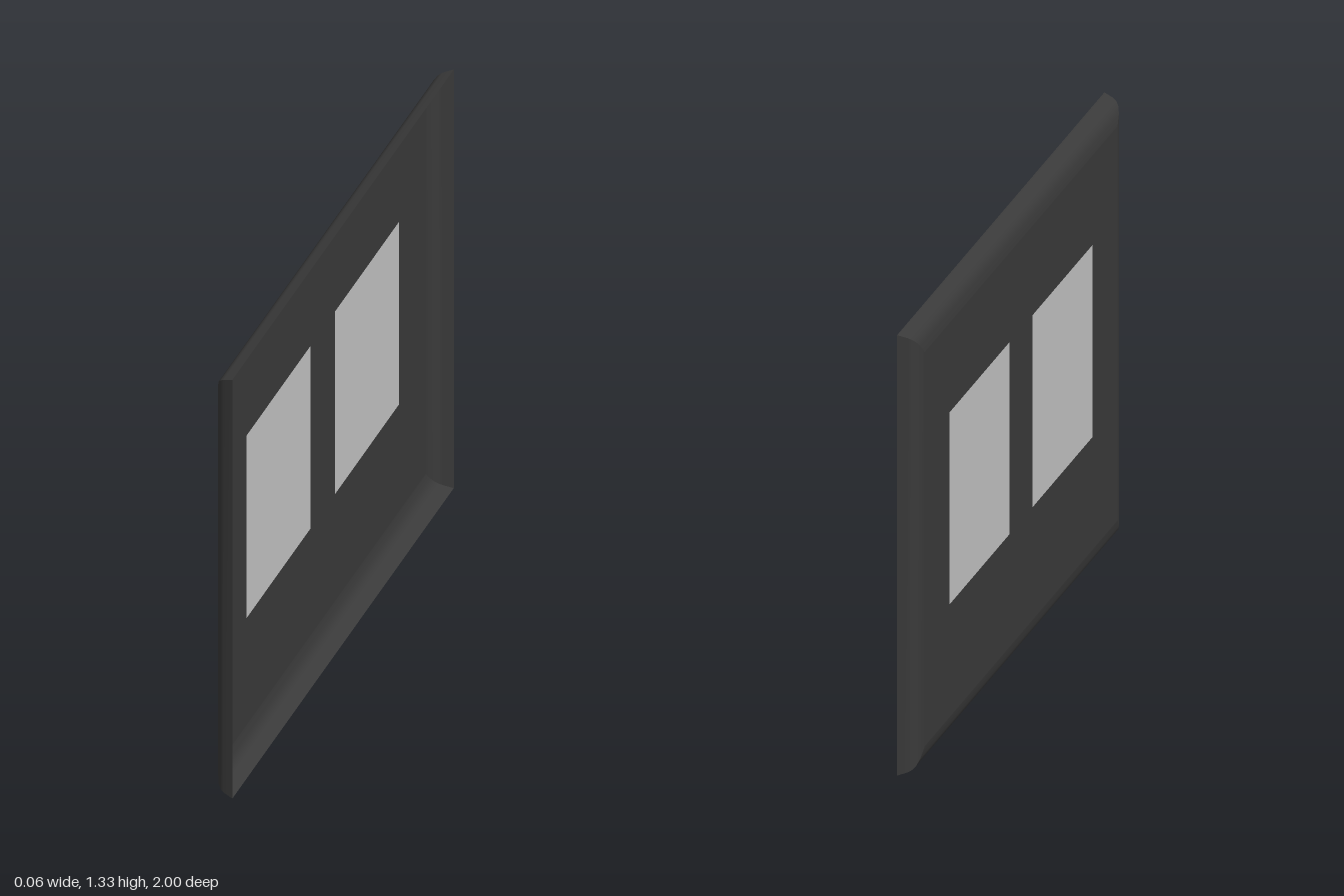
import * as THREE from 'three';

const HALF_X = 0.03, HALF_Z = 1, HEIGHT = 1.33;
const PANE = 0.58, PANE_Y = 0.70, PANE_Z = 0.40;

// Rim section from the open edge to the face: [x, inset from the outline]
const SECTION = [
  [0.03, 0], [0, 0.01], [-0.01, 0.016], [-0.019, 0.026], [-0.026, 0.043], [-0.03, 0.07],
];

// Curved strip along one side of the outline, mitred at both corners
function rimSide(a, b) {
  const positions = [], index = [];
  SECTION.forEach(([x, inset]) => {
    for (const [sz, sy] of [a, b]) {
      positions.push(x, HEIGHT / 2 + sy * (HEIGHT / 2 - inset), sz * (HALF_Z - inset));
    }
  });
  for (let i = 0; i < SECTION.length - 1; i++) {
    const k = i * 2;
    index.push(k, k + 1, k + 2, k + 1, k + 3, k + 2);
  }
  const g = new THREE.BufferGeometry();
  g.setAttribute('position', new THREE.Float32BufferAttribute(positions, 3));
  g.setIndex(index);
  g.computeVertexNormals();
  return g;
}

// Counter-clockwise rectangle points centred on (cx, cy)
function rectangle(cx, cy, w, h) {
  return [[-1, -1], [1, -1], [1, 1], [-1, 1]].map(
    ([sx, sy]) => new THREE.Vector2(cx + sx * w / 2, cy + sy * h / 2));
}

export function createModel() {
  const group = new THREE.Group();
  const dark = new THREE.MeshStandardMaterial({ color: 0x3a3a3a, side: THREE.DoubleSide });
  dark.name = 'dark grey';
  const pale = new THREE.MeshStandardMaterial({ color: 0xc4c4c4, side: THREE.DoubleSide });
  pale.name = 'pale grey';

  const add = (name, geometry, material) => {
    const mesh = new THREE.Mesh(geometry, material);
    mesh.name = name;
    group.add(mesh);
    return mesh;
  };

  // Rounded rim, open on the +x side
  const corners = [[1, 0 - 1], [1, 1], [-1, 1], [-1, -1]];
  const names = ['frontRim', 'topRim', 'backRim', 'bottomRim'];
  corners.forEach((c, i) => add(names[i], rimSide(c, corners[(i + 1) % 4]), dark));

  // Flat face with two square openings
  const inset = SECTION[SECTION.length - 1][1];
  const face = new THREE.Shape(
    rectangle(0, HEIGHT / 2, 2 * (HALF_Z - inset), HEIGHT - 2 * inset));
  for (const s of [-1, 1]) {
    face.holes.push(new THREE.Path(rectangle(s * PANE_Z, PANE_Y, PANE, PANE).reverse()));
  }
  const faceGeometry = new THREE.ShapeGeometry(face);
  faceGeometry.rotateY(-Math.PI / 2).translate(-HALF_X, 0, 0);
  add('facePanel', faceGeometry, dark);

  // Square panes flush in the openings
  for (const s of [1, -1]) {
    const pane = new THREE.PlaneGeometry(PANE, PANE);
    pane.rotateY(-Math.PI / 2).translate(-HALF_X, PANE_Y, s * PANE_Z);
    add(s > 0 ? 'frontPane' : 'backPane', pane, pale);
  }
  return group;
}
